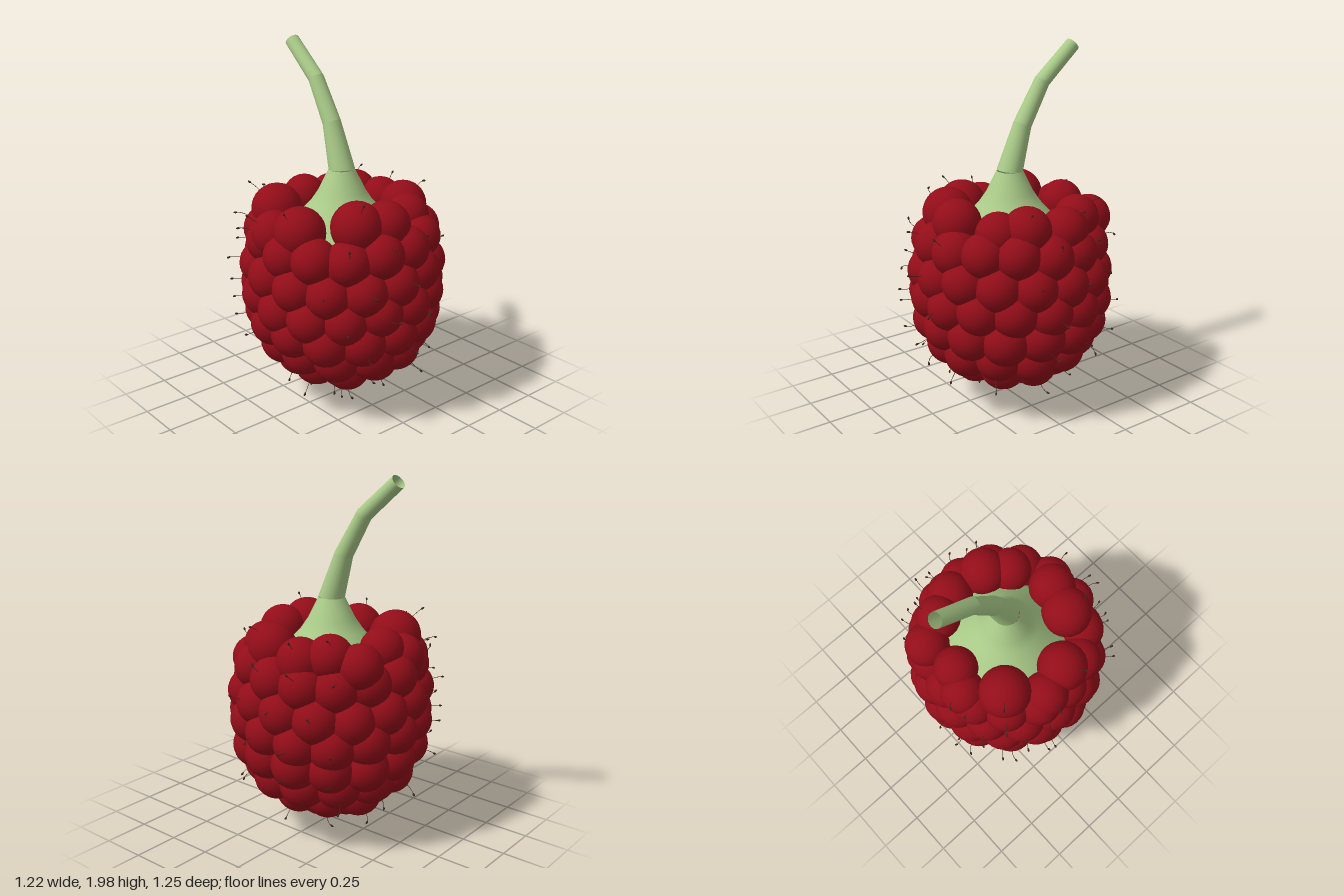
import * as THREE from 'three';

const mat = (color, side = THREE.FrontSide) => new THREE.MeshStandardMaterial({ color, side });
const V = (x, y, z) => new THREE.Vector3(x, y, z);
const TURN = Math.PI * 2;

// Small seeded generator, returns -1..1
let seed = 7;
const jitter = () => {
  seed = (seed * 16807) % 2147483647;
  return (seed / 2147483647) * 2 - 1;
};

// Berry axis offset
const CX = 0.01, CZ = -0.02;

// Crown drupelets: x, y, z, radius
const CROWN = [
  [-0.25, 1.1, -0.265, 0.141], [-0.345, 1.07, 0.062, 0.137], [-0.145, 1.11, 0.28, 0.138],
  [0.015, 1.1, 0.325, 0.13], [0.255, 1.08, 0.23, 0.121], [0.34, 1.1, 0.11, 0.13],
  [0.37, 1.07, -0.11, 0.127], [0.3, 1.1, -0.25, 0.122], [0.235, 1.06, -0.39, 0.122],
  [0.02, 1.1, -0.37, 0.12], [-0.09, 1.05, -0.42, 0.12], [-0.39, 1.03, -0.1, 0.125],
];

// Rows of drupelets: y, ring radius, count, drupelet radius, first angle, sway in height
const ROWS = [
  [0.965, 0.42, 15, 0.123, 0.21, 0.025], [0.805, 0.442, 15, 0.127, -0.02, 0.025],
  [0.66, 0.443, 15, 0.127, 0.17, 0.02], [0.515, 0.418, 14, 0.13, 0, 0.01],
  [0.39, 0.355, 12, 0.128, 0.26, 0], [0.28, 0.25, 9, 0.127, 0.1, 0],
  [0.22, 0.125, 5, 0.12, 0.5, 0], [0.205, 0, 1, 0.125, 0, 0],
];

function drupeletList() {
  const list = CROWN.map(([x, y, z, r]) => ({ p: V(x, y, z), r }));
  for (const [y, ring, n, r, first, sway] of ROWS) {
    for (let i = 0; i < n; i++) {
      const a = first + (i / n) * TURN;
      const lift = sway * Math.cos(2 * (a - 0.65)) + (n > 1 ? jitter() * 0.01 : 0);
      list.push({
        p: V(CX + ring * Math.sin(a), y + lift, CZ + ring * Math.cos(a)),
        r: r + jitter() * 0.003,
      });
    }
  }
  return list;
}

// A thin curved hair with a small pointed tip, growing out of a drupelet
function makeHair({ p, r }, material) {
  const hair = new THREE.Group();
  hair.name = 'hair';
  const out = V(p.x - CX, (p.y - 0.66) * 0.9, p.z - CZ).normalize();
  const bend = p.y < 0.21 ? V(0, 0, 0) : V(jitter() * 0.02, jitter() * 0.02, jitter() * 0.02);
  const start = p.clone().addScaledVector(out, r * 0.97);
  const end = p.clone().addScaledVector(out, r + 0.05).add(bend);
  const mid = p.clone().addScaledVector(out, r + 0.03);
  const curve = new THREE.QuadraticBezierCurve3(start, mid, end);
  const strand = new THREE.Mesh(new THREE.TubeGeometry(curve, 5, 0.0015, 5), material);
  strand.name = 'hairStrand';
  const tip = new THREE.Mesh(new THREE.OctahedronGeometry(0.006, 1), material);
  tip.name = 'hairTip';
  tip.scale.y = 1.8;
  tip.position.copy(end);
  tip.quaternion.setFromUnitVectors(V(0, 1, 0), curve.getTangent(1));
  hair.add(strand, tip);
  return hair;
}

// Bent, tapering, open-ended stalk: rings along a path, doubled so each bend stays creased
function stalkGeometry() {
  const path = [[1.33, -0.022, 0.071, 0.1], [1.57, -0.105, 0.05, 0.43],
    [1.79, -0.235, 0.043, 0.65], [1.97, -0.442, 0.04, 0.85]]; // y, z, radius, lean
  const sides = 20, pos = [], idx = [];
  const ring = ([y, z, r, lean]) => {
    for (let i = 0; i < sides; i++) {
      const a = (i / sides) * TURN;
      const d = r * Math.cos(a);
      pos.push(0.008 + r * Math.sin(a), y + d * Math.sin(lean), z + d * Math.cos(lean));
    }
  };
  for (let k = 0; k < path.length - 1; k++) {
    ring(path[k]);
    ring(path[k + 1]);
    for (let i = 0; i < sides; i++) {
      const a = k * 2 * sides + i, b = k * 2 * sides + (i + 1) % sides;
      idx.push(a, b, a + sides, b, b + sides, a + sides);
    }
  }
  const g = new THREE.BufferGeometry();
  g.setAttribute('position', new THREE.Float32BufferAttribute(pos, 3));
  g.setIndex(idx);
  g.computeVertexNormals();
  return g;
}

export function createModel() {
  const model = new THREE.Group();
  model.name = 'berry';
  const red = mat(0x920d19);
  const green = mat(0xa9ca88, THREE.DoubleSide);
  const brown = mat(0x3d2a20);

  // Drupelets, with hairs on about half of them
  const drupelets = new THREE.Group();
  drupelets.name = 'drupelets';
  const hairs = new THREE.Group();
  hairs.name = 'hairs';
  const ball = new THREE.SphereGeometry(1, 24, 16);
  const list = drupeletList();
  list.forEach((d, i) => {
    const m = new THREE.Mesh(ball, red);
    m.name = 'drupelet';
    m.position.copy(d.p);
    m.scale.setScalar(d.r);
    drupelets.add(m);
    if (i % 5 < 3 || i === list.length - 1) hairs.add(makeHair(d, brown));
  });

  // Conical cap and the core hidden beneath the drupelets
  const profile = [[0, 0.2], [0.18, 0.25], [0.32, 0.4], [0.4, 0.6], [0.4, 0.8], [0.36, 0.93],
    [0.28, 1.03], [0.17, 1.15], [0.13, 1.21], [0.071, 1.33]].map(([r, y]) => new THREE.Vector2(r, y));
  const core = new THREE.Mesh(new THREE.LatheGeometry(profile, 32), green);
  core.name = 'core';
  core.position.set(0.008, 0, -0.022);

  const stalk = new THREE.Mesh(stalkGeometry(), green);
  stalk.name = 'stalk';

  model.add(drupelets, hairs, core, stalk);
  return model;
}
